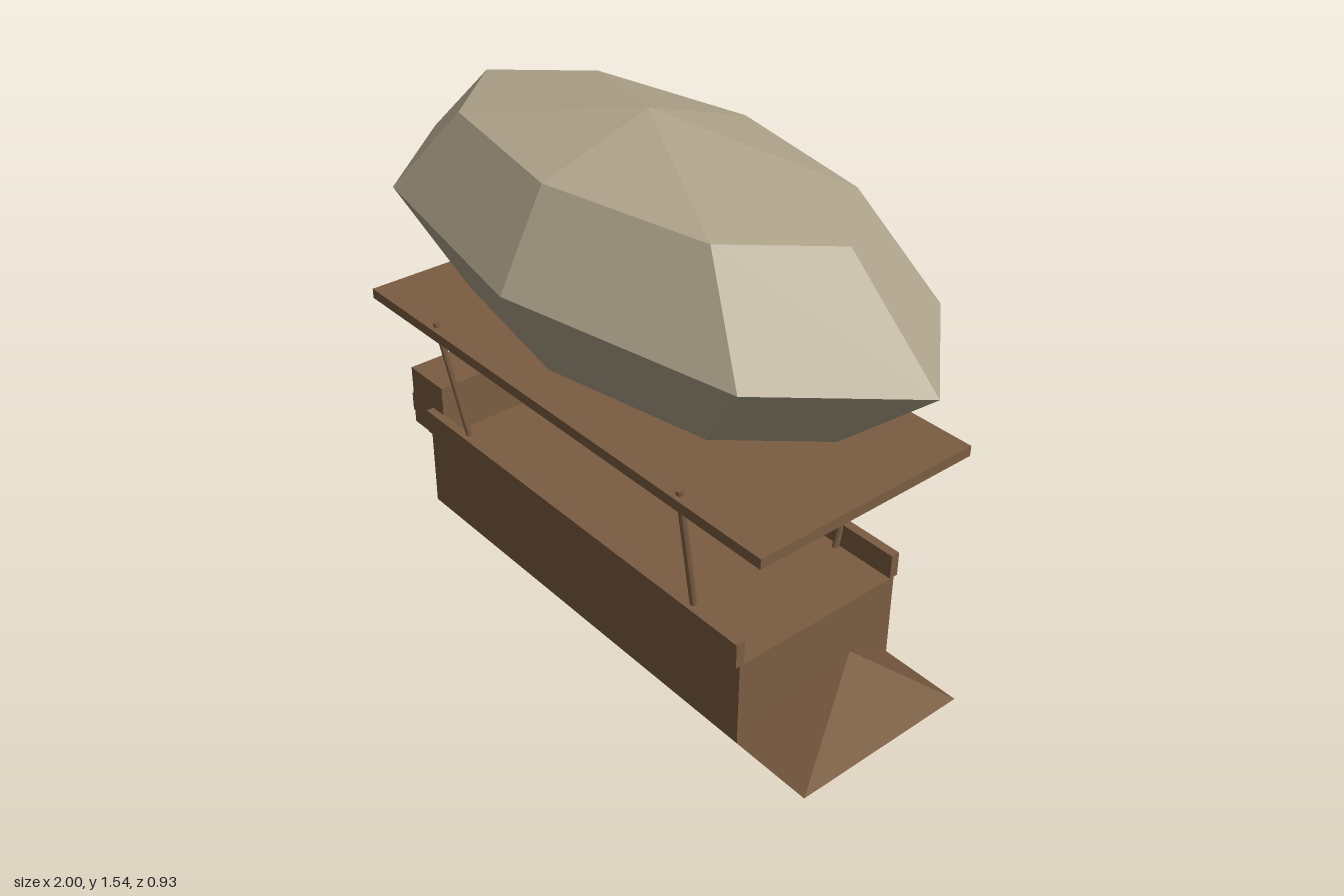
import * as THREE from 'three';

export function createModel() {
  const model = new THREE.Group();
  model.name = 'airship';

  const wood = new THREE.MeshStandardMaterial({ color: 0x7a5c41, flatShading: true });
  wood.name = 'brown wood';
  const canvas = new THREE.MeshStandardMaterial({ color: 0xb0a58c, flatShading: true });
  canvas.name = 'pale canvas';

  const add = (name, geometry, material) => {
    const mesh = new THREE.Mesh(geometry, material);
    mesh.name = name;
    model.add(mesh);
    return mesh;
  };

  // Box given by its minimum and maximum corners
  const box = (name, [x0, y0, z0], [x1, y1, z1]) => {
    const mesh = add(name, new THREE.BoxGeometry(x1 - x0, y1 - y0, z1 - z0), wood);
    mesh.position.set((x0 + x1) / 2, (y0 + y1) / 2, (z0 + z1) / 2);
  };

  // Straight rod between two points
  const rod = (name, a, b, radius, material) => {
    const from = new THREE.Vector3(...a), to = new THREE.Vector3(...b);
    const dir = to.clone().sub(from);
    const mesh = add(name, new THREE.CylinderGeometry(radius, radius, dir.length(), 8), material);
    mesh.position.copy(from).add(to).multiplyScalar(0.5);
    mesh.quaternion.setFromUnitVectors(new THREE.Vector3(0, 1, 0), dir.normalize());
  };

  // Faceted gas envelope
  const envelope = add('envelope', new THREE.SphereGeometry(1, 8, 4), canvas);
  envelope.scale.set(0.992, 0.367, 0.466);
  envelope.position.set(0.006, 1.175, 0);

  // Platform under the envelope
  box('platform', [-0.818, 0.785, -0.356], [0.83, 0.815, 0.356]);

  // Hull, keel and stern cabin
  box('hull', [-0.684, 0.102, -0.276], [0.693, 0.36, 0.276]);
  box('keel', [-0.545, 0, -0.15], [0.556, 0.102, 0.15]);
  box('sternCabin', [-0.793, 0.332, -0.265], [-0.63, 0.525, 0.265]);

  // Side rails and slanted struts, mirrored
  for (const side of [-1, 1]) {
    const za = 0.262 * side, zb = 0.289 * side;
    box('rail', [-0.684, 0.36, Math.min(za, zb)], [0.693, 0.434, Math.max(za, zb)]);
    for (const end of [-1, 1]) {
      rod('strut', [0.006 + 0.495 * end, 0.35, 0.25 * side],
        [0.006 + 0.52 * end, 0.83, 0.336 * side], 0.01, wood);
    }
  }

  // Pyramid bow
  const pyramid = new THREE.ConeGeometry(Math.SQRT1_2, 1, 4);
  pyramid.rotateY(Math.PI / 4);
  const bow = add('bow', pyramid, wood);
  bow.scale.set(0.27, 0.228, 0.552);
  bow.position.set(0.803, 0.216, 0);

  // Propeller
  rod('propellerShaft', [-0.96, 0.25, 0], [-0.795, 0.25, 0], 0.014, canvas);
  box('propellerBladeUpright', [-0.996, 0.115, -0.03], [-0.977, 0.388, 0.03]);
  box('propellerBladeLevel', [-1.0, 0.226, -0.15], [-0.972, 0.288, 0.15]);

  return model;
}
